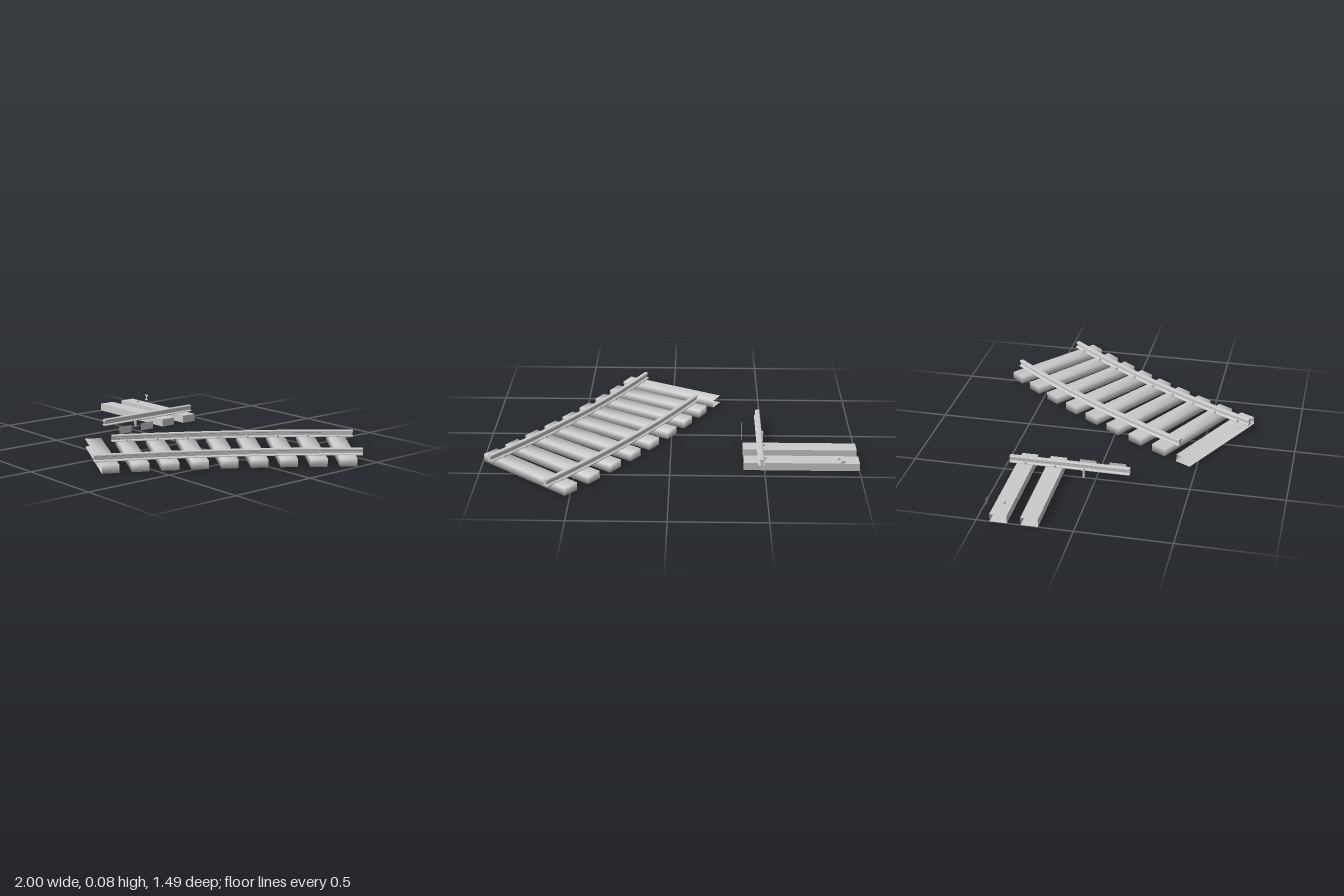
import * as THREE from 'three';
import { mergeVertices } from 'three/addons/utils/BufferGeometryUtils.js';

const MAT = new THREE.MeshStandardMaterial({ color: 0xcccccc, side: THREE.DoubleSide });
const TIE = { length: 0.61, height: 0.043, width: 0.09 };
const GAUGE = 0.213; // rail offset from the track centre line
const STEP = THREE.MathUtils.degToRad(1.5); // angle between curved ties
const CURVE = { x: 5.505, z: 3.435, r: 6.195, last: THREE.MathUtils.degToRad(27.6) };

function add(parent, name, geometry, x = 0, y = 0, z = 0) {
  const mesh = new THREE.Mesh(geometry, MAT);
  mesh.name = name;
  mesh.position.set(x, y, z);
  parent.add(mesh);
  return mesh;
}

// Box tie keeping only the listed sides (0 +x, 1 -x, 2 top, 3 bottom, 4 +z, 5 -z)
function tieGeometry(sides, smooth) {
  let g = new THREE.BoxGeometry(TIE.length, TIE.height, TIE.width);
  const index = Array.from(g.index.array);
  g.setIndex(sides.flatMap((s) => index.slice(s * 6, s * 6 + 6)));
  if (smooth) {
    g.deleteAttribute('normal');
    g.deleteAttribute('uv');
    g = mergeVertices(g);
    g.computeVertexNormals();
  }
  return g;
}

// I-shaped rail section, symmetric about x = 0
function railShape() {
  const half = [[0.017, 0.042], [0.017, 0.046], [0.005, 0.051], [0.005, 0.066],
    [0.013, 0.069], [0.013, 0.076], [0.01, 0.079]];
  const mirrored = half.map(([x, y]) => [-x, y]).reverse();
  return new THREE.Shape([...half, ...mirrored].map(([x, y]) => new THREE.Vector2(x, y)));
}

function railGeometry(length, steps = 1) {
  return new THREE.ExtrudeGeometry(railShape(), { depth: length, steps, bevelEnabled: false });
}

// Rail bent around the curve centre, from angle a0 down to a1
function bentRail(offset, a0, a1) {
  const g = railGeometry(1, 16);
  const p = g.attributes.position;
  for (let i = 0; i < p.count; i++) {
    const a = a0 + (a1 - a0) * p.getZ(i);
    const r = CURVE.r - offset - p.getX(i);
    p.setXYZ(i, CURVE.x - r * Math.cos(a), p.getY(i), CURVE.z - r * Math.sin(a));
  }
  g.computeVertexNormals();
  return g;
}

// Spike with a wider head holding the rail foot
function addSpike(parent, x, z) {
  const spike = new THREE.Group();
  spike.name = 'spike';
  spike.position.set(x, 0, z);
  add(spike, 'spikeShank', new THREE.BoxGeometry(0.012, 0.045, 0.012), 0, 0.0235, 0);
  add(spike, 'spikeHead', new THREE.CylinderGeometry(0.008, 0.011, 0.01, 8), 0, 0.051, 0);
  parent.add(spike);
}

function curvedTrack() {
  const track = new THREE.Group();
  track.name = 'curvedTrack';
  const closed = tieGeometry([0, 1, 2, 3, 4, 5], true);
  const open = tieGeometry([0, 2, 3, 5], true);
  for (let i = 0; i < 9; i++) {
    const a = CURVE.last + i * STEP;
    const section = new THREE.Group();
    section.name = 'curvedTie';
    section.position.set(CURVE.x - CURVE.r * Math.cos(a), 0, CURVE.z - CURVE.r * Math.sin(a));
    section.rotation.y = -a;
    add(section, 'tie', i === 0 ? open : closed, 0, TIE.height / 2, 0);
    if (i > 0) addSpike(section, -GAUGE + 0.018, 0);
    addSpike(section, GAUGE - 0.018, 0);
    track.add(section);
  }
  const end = THREE.MathUtils.degToRad(40.4);
  add(track, 'outerRail', bentRail(-GAUGE, end, THREE.MathUtils.degToRad(28.4)));
  add(track, 'innerRail', bentRail(GAUGE, end, THREE.MathUtils.degToRad(26.9)));
  return track;
}

function straightTrack() {
  const track = new THREE.Group();
  track.name = 'straightTrack';
  track.position.x = -0.695;
  const openTie = tieGeometry([0, 2, 3, 4, 5], false);
  const endFace = tieGeometry([0], false);
  // Two hollow ties, then two where only the end face is left
  for (let i = 0; i < 4; i++) {
    const z = -0.385 + i * 0.16;
    add(track, i < 2 ? 'straightTie' : 'tieEndFace', i < 2 ? openTie : endFace, 0, TIE.height / 2, z);
    if (i < 3) addSpike(track, GAUGE - 0.018, z);
  }
  addSpike(track, -GAUGE + 0.018, -0.385);
  add(track, 'straightRail', railGeometry(0.65), GAUGE, 0, -0.47);
  // End section of the missing rail
  add(track, 'railEndFace', new THREE.ShapeGeometry(railShape()), -GAUGE, 0, -0.47);
  return track;
}

export function createModel() {
  const model = new THREE.Group();
  model.name = 'railTrack';
  model.add(curvedTrack(), straightTrack());
  return model;
}
